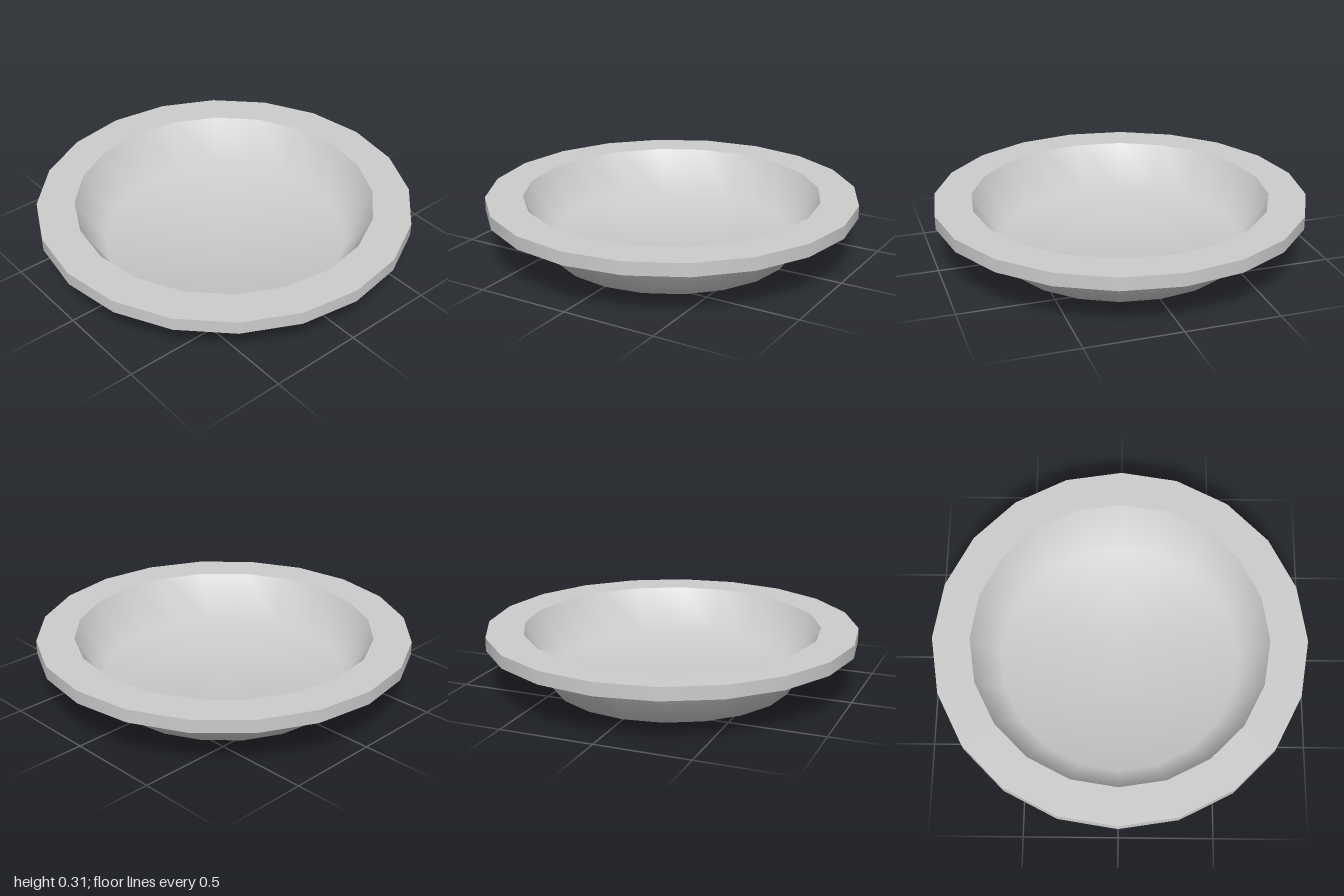
import * as THREE from 'three';

const SIDES = 20;
const RIM = 1, WELL = 0.8, BASE = 0.655;
const TOP = 0.31, UNDER = 0.24, THICK = TOP - UNDER;

export function createModel() {
  const plate = new THREE.Group();
  plate.name = 'plate';
  const material = new THREE.MeshStandardMaterial({ color: 0xcccccc });

  // Each band is its own lathe, so the edges between bands stay sharp
  const band = (name, profile) => {
    const points = profile.map(([r, y]) => new THREE.Vector2(r, y));
    const mesh = new THREE.Mesh(new THREE.LatheGeometry(points, SIDES), material);
    mesh.name = name;
    plate.add(mesh);
  };

  // Bowl outside: flat foot blending into the sloping wall
  band('bowlOutside', [[0, 0], [BASE, 0], [WELL, UNDER]]);

  // Wide flat rim
  band('rimUnderside', [[WELL, UNDER], [RIM, UNDER]]);
  band('rimEdge', [[RIM, UNDER], [RIM, TOP]]);
  band('rimTop', [[RIM, TOP], [WELL, TOP]]);

  // Bowl inside: sloping wall blending into the floor
  band('bowlInside', [[WELL, TOP], [BASE, THICK], [0, THICK]]);

  return plate;
}
